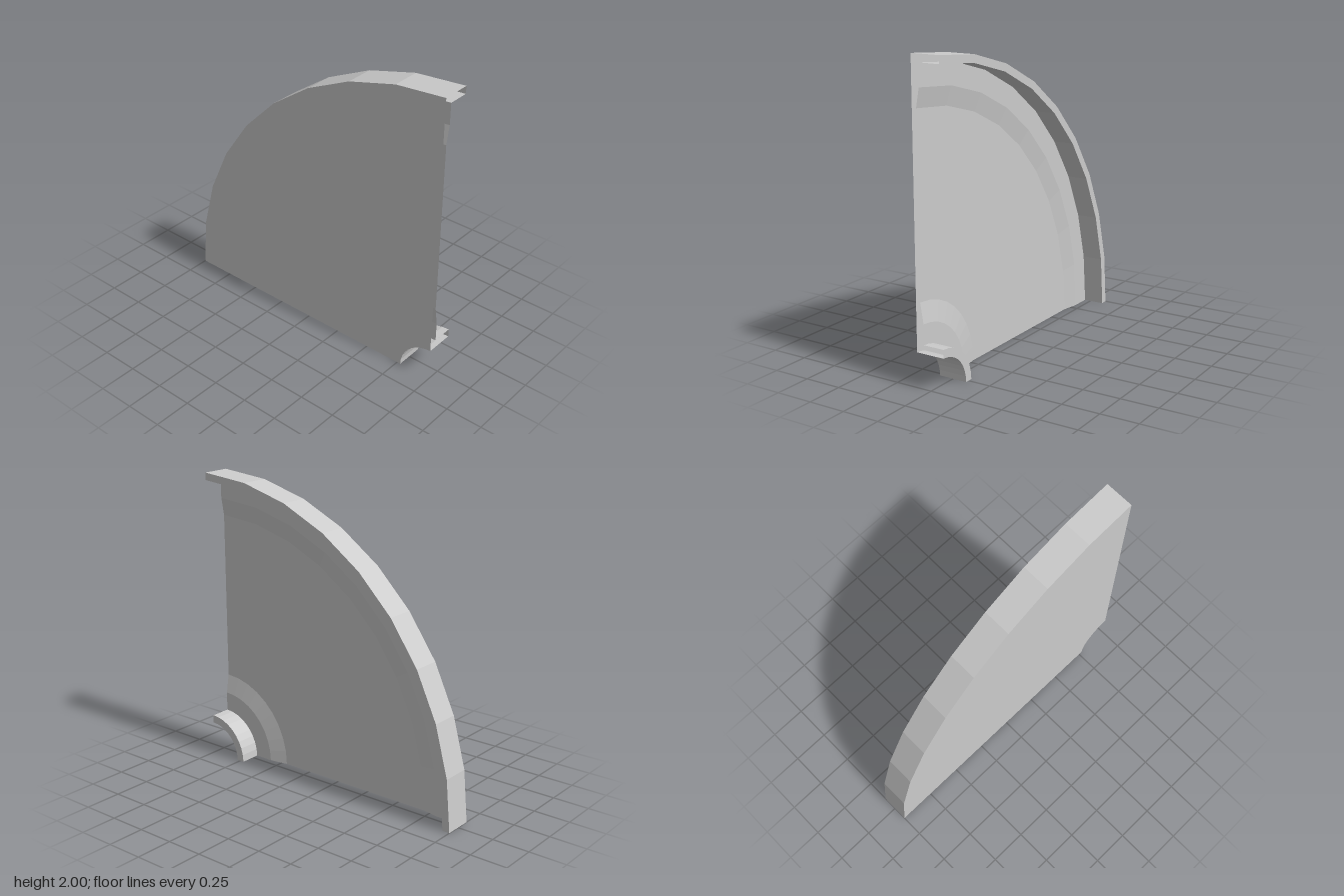
import * as THREE from 'three';

// Quarter of a hollow wheel-like disc, revolved about an axis along z at x = 1, y = 0.
const D = 0.097;       // half depth
const STEP = 0.045;    // back of the web beside rim and hub
const RECESS = 0.067;  // back of the web in its thinned middle

export function createModel() {
  const group = new THREE.Group();
  group.name = 'quarterDisc';
  const material = new THREE.MeshStandardMaterial({
    color: 0xcccccc, flatShading: true, side: THREE.DoubleSide,
  });

  // Sweeps a [radius, z] profile through the quarter turn; the cut ends stay open.
  const sweep = (name, profile) => {
    const points = profile.map(([r, z]) => new THREE.Vector2(r, z));
    const geometry = new THREE.LatheGeometry(points, 9, Math.PI, Math.PI / 2);
    geometry.rotateX(Math.PI / 2);
    const mesh = new THREE.Mesh(geometry, material);
    mesh.name = name;
    mesh.position.x = 1;
    group.add(mesh);
  };

  // Outer rim: inner wall, back lip, outer wall
  sweep('outerRim', [[1.95, STEP], [1.95, -D], [2, -D], [2, D]]);
  // Flat front plate
  sweep('frontPlate', [[2, D], [0.225, D]]);
  // Hub: bore, back lip, outer wall
  sweep('hub', [[0.225, D], [0.225, -D], [0.28, -D], [0.28, STEP]]);
  // Back of the web with its shallow bevelled recess
  sweep('backWeb', [
    [0.28, STEP], [0.41, STEP], [0.54, RECESS],
    [1.69, RECESS], [1.81, STEP], [1.95, STEP],
  ]);
  return group;
}
